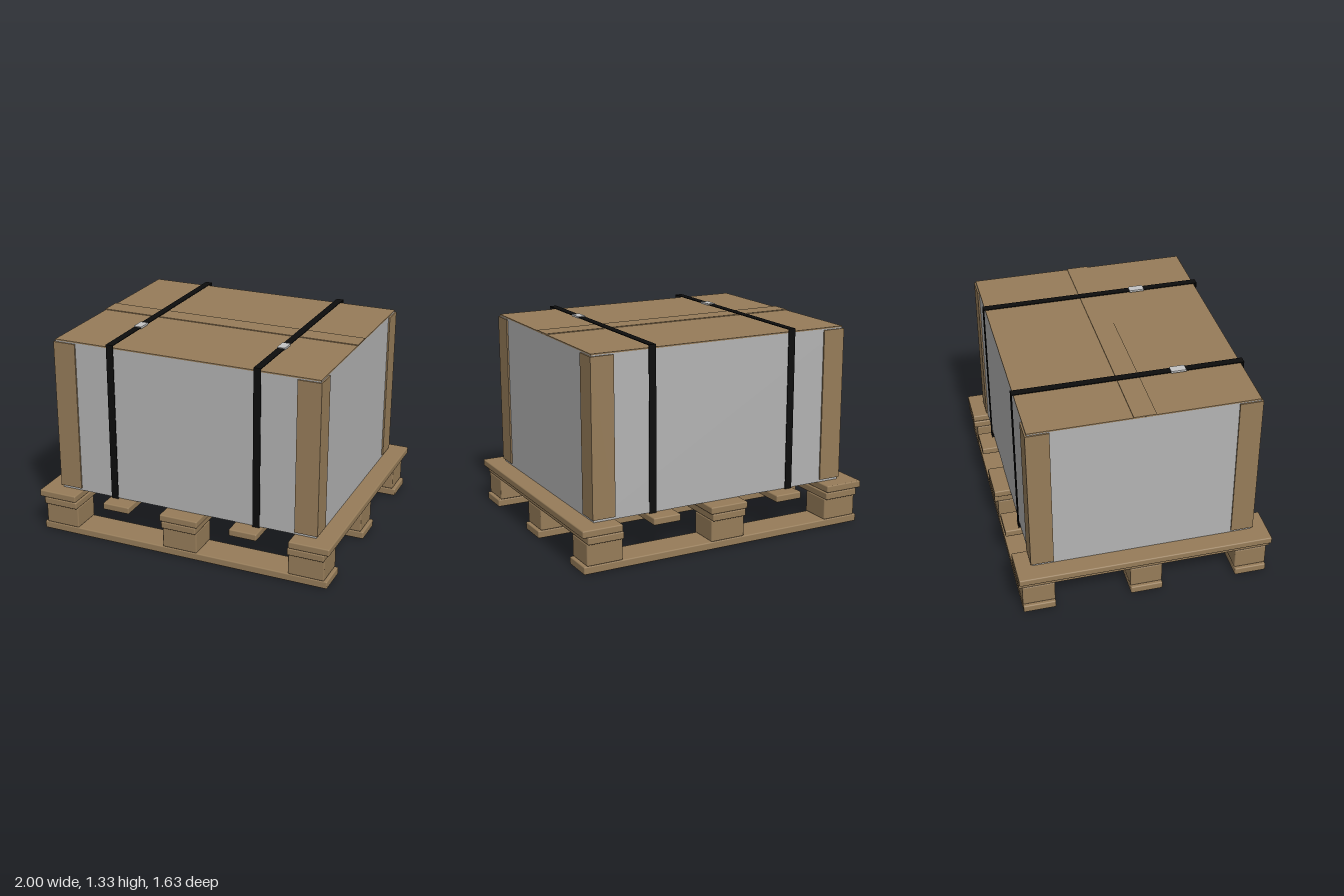
import * as THREE from 'three';
import { RoundedBoxGeometry } from 'three/addons/geometries/RoundedBoxGeometry.js';

const material = (name, color) => {
  const m = new THREE.MeshStandardMaterial({ color });
  m.name = name;
  return m;
};

export function createModel() {
  const brown = material('woodAndCardboard', 0x967c59);
  const gray = material('cartonSide', 0xb3b3b3);
  const black = material('strapBlack', 0x0d0d0d);
  const metal = material('buckleMetal', 0xc4c4c4);

  const model = new THREE.Group();
  model.name = 'palletWithCarton';
  const pallet = new THREE.Group();
  pallet.name = 'pallet';
  const carton = new THREE.Group();
  carton.name = 'carton';
  model.add(pallet, carton);

  const add = (parent, name, geometry, mat) => {
    const mesh = new THREE.Mesh(geometry, mat);
    mesh.name = name;
    parent.add(mesh);
    return mesh;
  };
  // Plain box and softened plank, both given by width, y range, depth and centre
  const box = (parent, name, mat, w, y0, y1, d, x = 0, z = 0) => {
    const mesh = add(parent, name, new THREE.BoxGeometry(w, y1 - y0, d), mat);
    mesh.position.set(x, (y0 + y1) / 2, z);
    return mesh;
  };
  const plank = (name, w, y0, y1, d, x = 0, z = 0) => {
    const mesh = add(pallet, name, new RoundedBoxGeometry(w, y1 - y0, d, 2, 0.008), brown);
    mesh.position.set(x, (y0 + y1) / 2, z);
  };

  // Pallet: skids across, blocks, then lengthwise boards in two layers
  for (const z of [-0.69, 0, 0.69]) {
    plank('skid', 1.97, 0, 0.05, 0.207, 0, z);
    for (const x of [-0.848, 0, 0.848]) plank('block', 0.235, 0.05, 0.19, 0.207, x, z);
  }
  for (const x of [-0.848, 0, 0.848]) plank('stringer', 0.237, 0.19, 0.237, 1.63, x);
  for (const [x, w] of [[-0.868, 0.264], [-0.438, 0.185], [0, 0.26], [0.438, 0.185], [0.868, 0.264]]) {
    plank('deckBoard', w, 0.237, 0.283, 1.63, x);
  }

  // Carton body: gray walls, brown base
  box(carton, 'cartonBody', [gray, gray, brown, brown, gray, gray], 1.76, 0.284, 1.297, 1.42);

  // Top flaps meeting at a seam, with tape over it
  for (const s of [-1, 1]) box(carton, 'topFlap', brown, 1.764, 1.297, 1.305, 0.707, 0, s * 0.3565);
  box(carton, 'tape', brown, 1.77, 1.304, 1.31, 0.14, 0, -0.005);

  // Angled corner protectors
  const corner = new THREE.Shape([
    [0.89, 0.72], [0.89, 0.575], [0.879, 0.575], [0.879, 0.709], [0.74, 0.709], [0.74, 0.72],
  ].map(([x, z]) => new THREE.Vector2(x, z)));
  for (let i = 0; i < 4; i++) {
    const sx = i & 1 ? 1 : -1, sz = i & 2 ? 1 : -1;
    const shape = new THREE.Shape(corner.getPoints().map((p) => new THREE.Vector2(p.x * sx, -p.y * sz)));
    const geometry = new THREE.ExtrudeGeometry(shape, { depth: 0.99, bevelEnabled: false });
    geometry.rotateX(-Math.PI / 2).translate(0, 0.3, 0);
    add(carton, 'cornerProtector', geometry, brown);
  }

  // Strap loops, standing slightly proud of the lid, with buckles
  const rectangle = (PathType, z, y0, y1) => new PathType([
    [-z, y0], [z, y0], [z, y1], [-z, y1],
  ].map(([a, b]) => new THREE.Vector2(a, b)));
  const loop = rectangle(THREE.Shape, 0.725, 0.28, 1.325);
  loop.holes.push(rectangle(THREE.Path, 0.72, 0.284, 1.32));
  for (const x of [-0.49, 0.49]) {
    const geometry = new THREE.ExtrudeGeometry(loop, { depth: 0.047, bevelEnabled: false });
    geometry.translate(0, 0, -0.0235).rotateY(-Math.PI / 2);
    add(carton, 'strap', geometry, black).position.x = x;
    box(carton, 'buckle', metal, 0.053, 1.317, 1.33, 0.095, x, 0.307);
  }

  return model;
}
